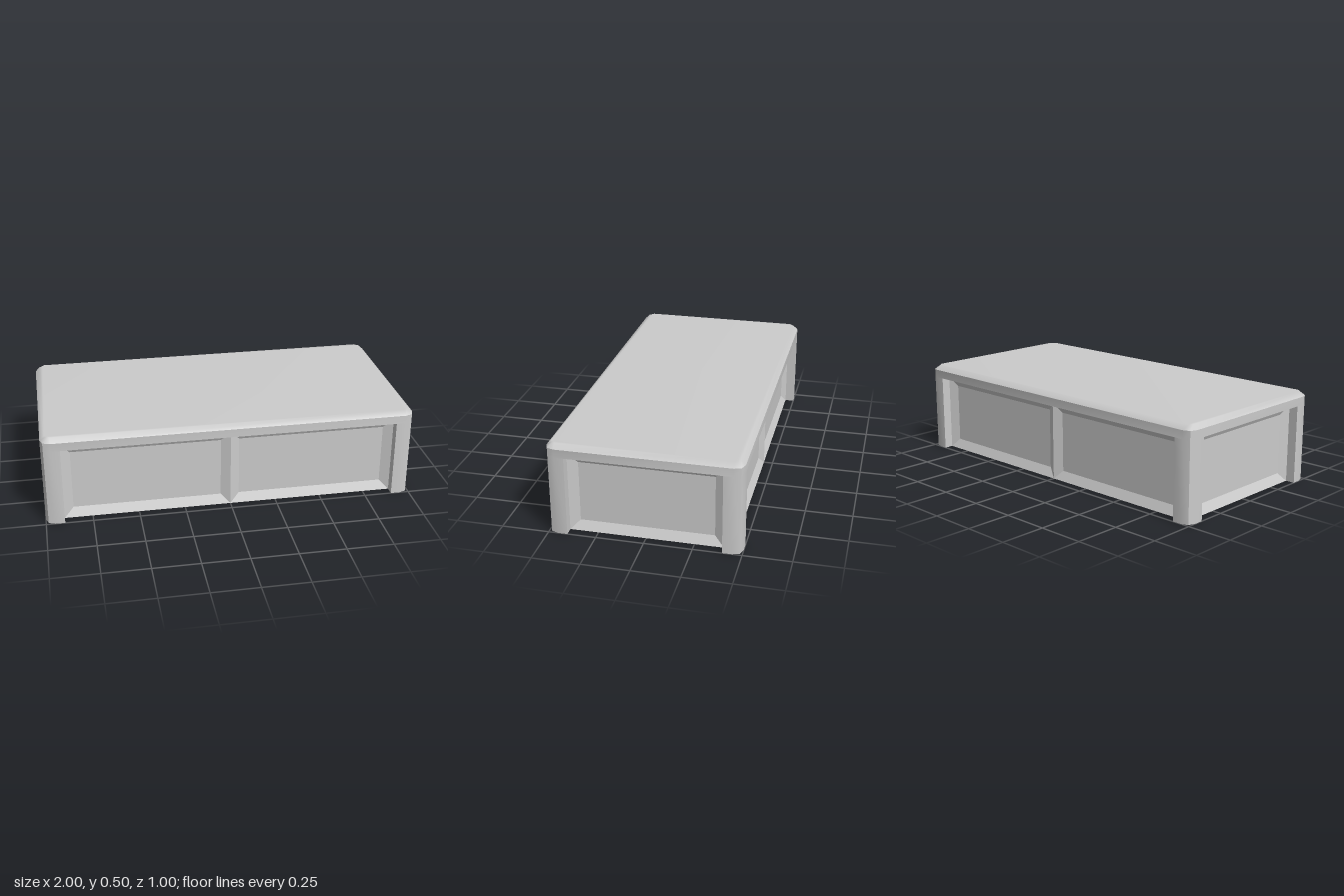
import * as THREE from 'three';
import { mergeGeometries, mergeVertices, toCreasedNormals } from 'three/addons/utils/BufferGeometryUtils.js';

const TOP = 0.5, LIP = 0.475, OPEN = 0.43; // heights: top, bevel start, panel opening
const STEP = 0.05;                         // panel setback and width of its sloping sides
const SINK = 0.025;                        // depth of the panel field behind its rim
const CREASE = Math.PI / 6;

const material = new THREE.MeshStandardMaterial({ color: 0xcccccc });

function part(name, geometry) {
  const mesh = new THREE.Mesh(geometry, material);
  mesh.name = name;
  return mesh;
}

// Flat-shaded geometry from quads, each four corners counter-clockwise
function fromQuads(quads) {
  const pos = quads.flatMap(([a, b, c, d]) => [a, b, c, a, c, d].flat());
  const geometry = new THREE.BufferGeometry();
  geometry.setAttribute('position', new THREE.Float32BufferAttribute(pos, 3));
  geometry.computeVertexNormals();
  return geometry;
}

// Plan outline with two-facet rounded corners, as [x, z]
function outline(inset) {
  const a = 1 - inset, b = 0.5 - inset, m = 0.0135;
  const corner = [[a, 0.45], [a - m, b - m], [0.95, b]];
  const mirror = (sx, sz) => corner.map(([x, z]) => [x * sx, z * sz]);
  return [...mirror(1, 1), ...mirror(-1, 1).reverse(), ...mirror(-1, -1), ...mirror(1, -1).reverse()];
}

// Flat polygon at height y, facing up or down
function cap(points, y, up) {
  const shape = new THREE.Shape(points.map(([x, z]) => new THREE.Vector2(x, up ? -z : z)));
  const geometry = new THREE.ShapeGeometry(shape).rotateX(up ? -Math.PI / 2 : Math.PI / 2).translate(0, y, 0);
  geometry.deleteAttribute('uv');
  return geometry.toNonIndexed();
}

// Band of quads between two outlines
function band(lower, y0, upper, y1) {
  return fromQuads(lower.map((p, i) => {
    const j = (i + 1) % lower.length, q = lower[j], r = upper[j], s = upper[i];
    return [[q[0], y0, q[1]], [p[0], y0, p[1]], [s[0], y1, s[1]], [r[0], y1, r[1]]];
  }));
}

// Joins pieces and blends their normals, larger faces dominating
function blend(pieces) {
  const joined = mergeGeometries(pieces);
  joined.deleteAttribute('normal');
  const geometry = mergeVertices(joined);
  geometry.computeVertexNormals();
  return geometry;
}

// Recessed panel: four sloping sides around a flat field, facing +z
function recessedPanel(width) {
  const rect = (i, z) => [[-width / 2 + i, i, z], [width / 2 - i, i, z],
    [width / 2 - i, OPEN - i, z], [-width / 2 + i, OPEN - i, z]];
  const rim = rect(0, 0), field = rect(STEP, -SINK);
  const slopes = rim.map((p, i) => [p, rim[(i + 1) % 4], field[(i + 1) % 4], field[i]]);
  return fromQuads([...slopes, field]);
}

export function createModel() {
  const model = new THREE.Group();
  model.name = 'lowChest';

  // Top slab with a softened rim
  const outer = outline(0), inner = outline(0.025);
  const top = new THREE.Group();
  top.name = 'top';
  top.add(
    part('topUnderside', cap(outer, OPEN, false)),
    part('topEdge', toCreasedNormals(band(outer, OPEN, outer, LIP), CREASE)),
    part('topSurface', blend([band(outer, LIP, inner, TOP), cap(inner, TOP, true)])));
  model.add(top);

  // Corner posts
  const post = [[0.9, 0.5], [0.95, 0.5], [0.9865, 0.4865], [1, 0.45], [1, 0.4], [0.95, 0.4], [0.9, 0.45]];
  for (const sx of [-1, 1]) for (const sz of [-1, 1]) {
    const shape = new THREE.Shape(post.map(([x, z]) => new THREE.Vector2(x * sx, -z * sz)));
    const geometry = new THREE.ExtrudeGeometry(shape, { depth: OPEN, bevelEnabled: false });
    model.add(part('cornerPost', toCreasedNormals(geometry.rotateX(-Math.PI / 2), CREASE)));
  }

  // Two panels on each long side, one on each end
  for (const turn of [0, Math.PI]) {
    for (const x of [-0.45, 0.45]) {
      model.add(part('longSidePanel', recessedPanel(0.9).translate(x, 0, 0.5 - STEP).rotateY(turn)));
    }
    model.add(part('endPanel', recessedPanel(0.8).translate(0, 0, 1 - STEP).rotateY(turn + Math.PI / 2)));
  }

  // Underside between the posts
  model.add(part('base', cap([[0.9, 0.45], [0.95, 0.4], [0.95, -0.4], [0.9, -0.45],
    [-0.9, -0.45], [-0.95, -0.4], [-0.95, 0.4], [-0.9, 0.45]], 0, false)));

  return model;
}
